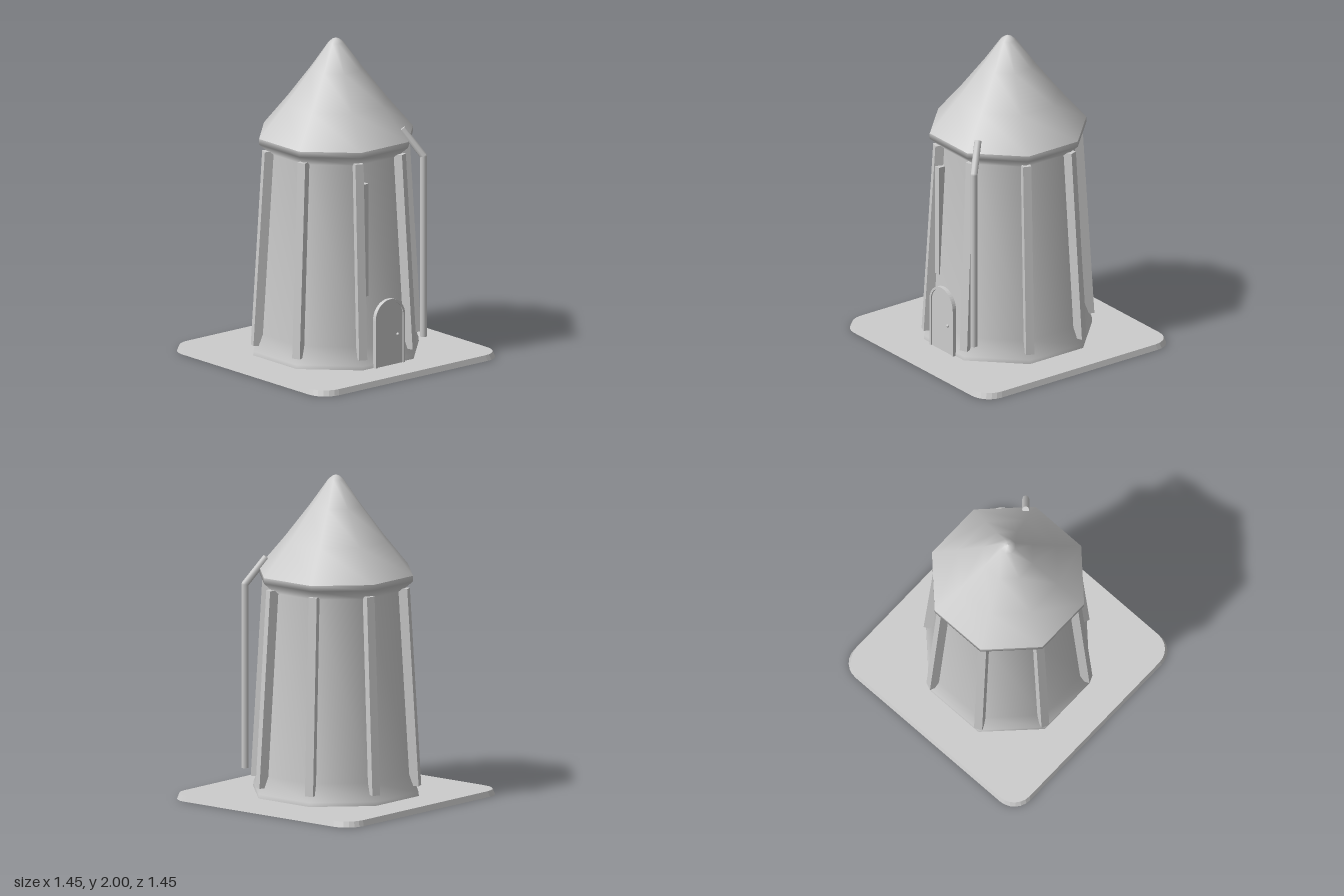
import * as THREE from 'three';

const grey = new THREE.MeshStandardMaterial({ color: 0xcccccc });
grey.name = 'light grey';
const K = 1 / Math.cos(Math.PI / 8); // flat radius to corner radius of an octagon

export function createModel() {
  const tower = new THREE.Group();
  tower.name = 'tower';

  const add = (name, geometry, x = 0, y = 0, z = 0) => {
    const mesh = new THREE.Mesh(geometry, grey);
    mesh.name = name;
    mesh.position.set(x, y, z);
    tower.add(mesh);
    return mesh;
  };

  // Eight-sided turned form; the profile lists [flat radius, height] upwards
  const octagon = (profile) => new THREE.LatheGeometry(
    profile.map(([r, y]) => new THREE.Vector2(r * K, y)), 8, Math.PI / 8);

  // Base slab with rounded corners and slightly sloping sides
  const h = 0.725, r = 0.13, c = h - r;
  const slab = new THREE.Shape();
  [[c, c], [-c, c], [-c, -c], [c, -c]].forEach(([x, y], i) =>
    slab.absarc(x, y, r, i * Math.PI / 2, (i + 1) * Math.PI / 2, false));
  const base = new THREE.ExtrudeGeometry(slab, { depth: 0.035, bevelEnabled: false, curveSegments: 3 });
  base.rotateX(-Math.PI / 2);
  const bp = base.attributes.position;
  for (let i = 0; i < bp.count; i++) {
    if (bp.getY(i) > 0.02) bp.setXYZ(i, bp.getX(i) * 0.985, bp.getY(i), bp.getZ(i) * 0.985);
  }
  base.computeVertexNormals();
  add('baseSlab', base);

  // Tapering wall with flared foot and eave
  add('wall', octagon([[0.49, 0.03], [0.488, 0.06], [0.45, 0.17], [0.387, 1.3], [0.455, 1.365], [0.455, 1.4]]));

  // Pointed roof with a soft tip
  add('roof', octagon([[0.455, 1.4], [0.3, 1.6], [0.15, 1.81], [0.045, 1.97], [0.02, 1.992], [0, 2]]));

  // Leaning rib on every corner
  const rib = new THREE.BoxGeometry(0.052, 1.22, 1);
  const rp = rib.attributes.position;
  for (let i = 0; i < rp.count; i++) {
    const top = rp.getY(i) > 0;
    rp.setZ(i, rp.getZ(i) > 0 ? (top ? 0.464 : 0.537) : (top ? 0.38 : 0.44));
  }
  rib.computeVertexNormals();
  for (let i = 0; i < 8; i++) {
    add('rib', rib, 0, 0.71, 0).rotation.y = Math.PI / 8 + i * Math.PI / 4;
  }

  // Arched door leaf, its frame and knob
  const arch = (radius, Path) => {
    const p = new Path();
    p.moveTo(-radius, 0.03);
    p.lineTo(radius, 0.03);
    p.lineTo(radius, 0.335);
    p.absarc(0, 0.335, radius, 0, Math.PI, false);
    p.closePath();
    return p;
  };
  const extrude = (shape, depth) =>
    new THREE.ExtrudeGeometry(shape, { depth, bevelEnabled: false, curveSegments: 12 });
  add('door', extrude(arch(0.104, THREE.Shape), 0.018), 0, 0, 0.485);
  const frame = arch(0.118, THREE.Shape);
  frame.holes.push(arch(0.104, THREE.Path));
  add('doorFrame', extrude(frame, 0.026), 0, 0, 0.485);
  add('doorKnob', new THREE.SphereGeometry(0.01, 12, 8), 0.062, 0.22, 0.507);

  // Upright strip beside the front rib
  add('wallStrip', new THREE.BoxGeometry(0.045, 0.71, 0.06), -0.138, 0.835, 0.41);

  // Pipe: upright run, elbow and run leaning onto the roof
  const up = new THREE.Vector3(0, 1, 0);
  const pipe = (a, b) => {
    const d = b.clone().sub(a);
    const mid = a.clone().add(b).multiplyScalar(0.5);
    add('pipe', new THREE.CylinderGeometry(0.022, 0.022, d.length(), 8), mid.x, mid.y, mid.z)
      .quaternion.setFromUnitVectors(up, d.normalize());
  };
  const elbow = new THREE.Vector3(0.291, 1.3, 0.48);
  pipe(new THREE.Vector3(0.291, 0.16, 0.48), elbow);
  pipe(elbow, new THREE.Vector3(0.203, 1.468, 0.383));
  add('pipeElbow', new THREE.SphereGeometry(0.022, 8, 6), elbow.x, elbow.y, elbow.z);

  return tower;
}
